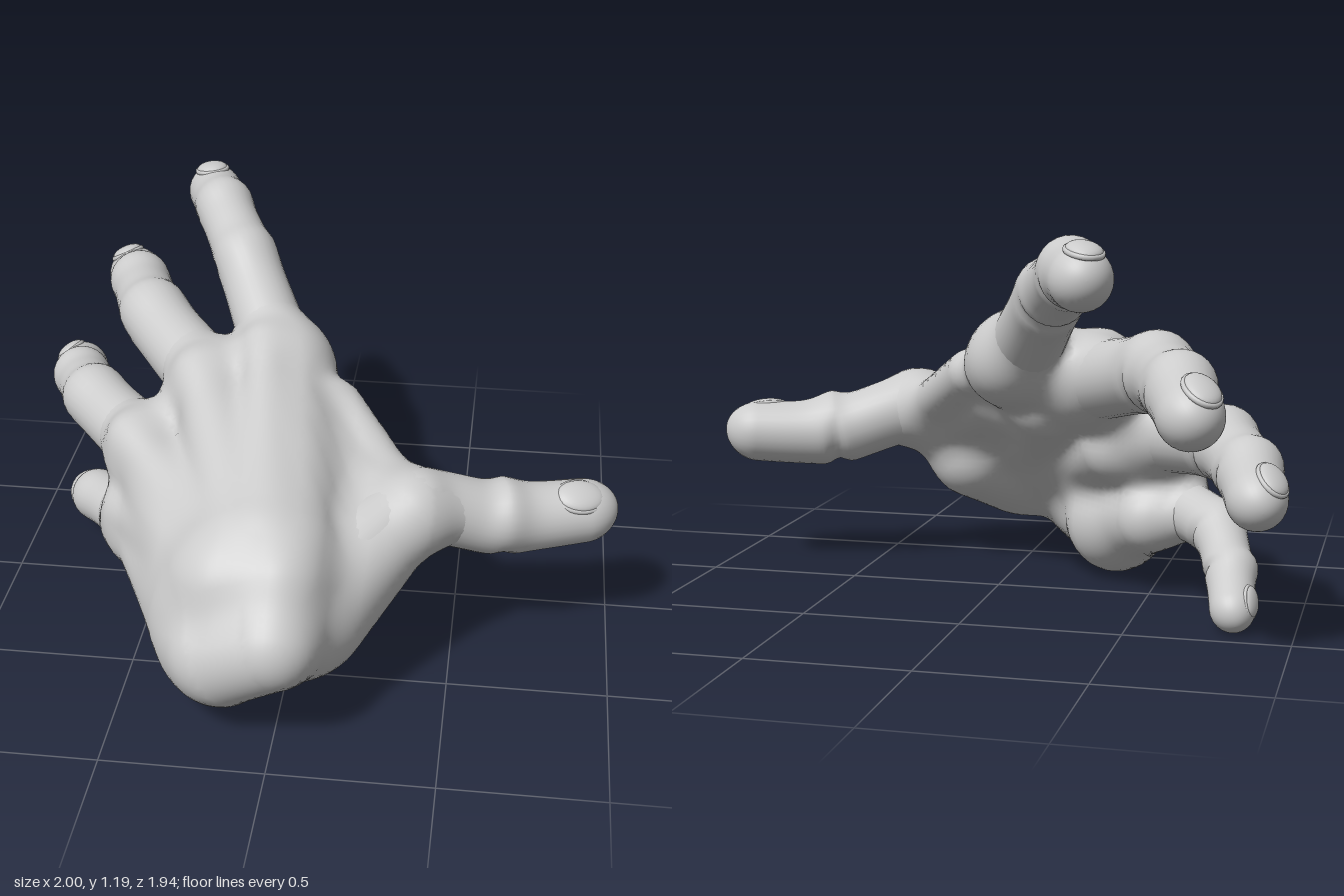
import * as THREE from 'three';

const V = (a) => new THREE.Vector3(...a);
const skin = new THREE.MeshStandardMaterial({ color: 0xcccccc, side: THREE.DoubleSide });

// Each finger: knuckle, two joints and the end, the radius at each, and the way its nail faces
const FINGERS = [
  { name: 'indexFinger', pts: [[-0.1, 0.79, -0.12], [-0.27, 1.01, -0.45], [-0.375, 1.09, -0.67], [-0.47, 1.09, -0.92]], r: [0.13, 0.109, 0.102, 0.098], up: [-0.1, 1, 0] },
  { name: 'middleFinger', pts: [[-0.31, 0.71, -0.06], [-0.585, 0.785, -0.43], [-0.69, 0.775, -0.7], [-0.78, 0.71, -0.97]], r: [0.138, 0.12, 0.108, 0.102], up: [-0.35, 0.95, 0] },
  { name: 'ringFinger', pts: [[-0.51, 0.53, 0.06], [-0.76, 0.55, -0.24], [-0.86, 0.51, -0.46], [-0.93, 0.44, -0.72]], r: [0.13, 0.113, 0.102, 0.094], up: [-0.55, 0.8, 0] },
  { name: 'littleFinger', pts: [[-0.53, 0.3, 0.14], [-0.73, 0.25, -0.09], [-0.79, 0.16, -0.25], [-0.83, 0.04, -0.45]], r: [0.112, 0.09, 0.08, 0.073], up: [-0.9, 0.4, 0] },
  { name: 'thumb', pts: [[0.14, 0.44, 0.55], [0.38, 0.54, 0.33], [0.64, 0.47, 0.23], [1.0, 0.47, 0.12]], r: [0.15, 0.125, 0.122, 0.106], up: [0, 0.85, 0.45] },
];

// Muscles and bones under the skin of the palm: start, end, start radius, end radius
function palmBones() {
  const bones = [
    [[-0.16, 0.27, 0.755], [0.0, 0.35, 0.82], 0.175, 0.145],   // wrist
    [[-0.14, 0.46, 0.67], [0.0, 0.48, 0.7], 0.17, 0.155],
    [[0.0, 0.53, 0.57], [-0.08, 0.77, -0.12], 0.165, 0.13],    // palm bones
    [[-0.1, 0.52, 0.57], [-0.31, 0.71, -0.06], 0.17, 0.135],
    [[-0.2, 0.41, 0.6], [-0.51, 0.53, 0.06], 0.17, 0.13],
    [[-0.25, 0.29, 0.6], [-0.53, 0.3, 0.14], 0.17, 0.115],
    [[-0.19, 0.195, 0.64], [-0.35, 0.18, 0.24], 0.175, 0.145], // heel of the palm
    [[-0.35, 0.19, 0.24], [-0.49, 0.25, 0.04], 0.145, 0.115],
    [[-0.08, 0.33, 0.55], [-0.38, 0.48, 0.04], 0.15, 0.12],    // hollow of the palm
    [[-0.02, 0.4, 0.5], [-0.15, 0.62, 0.0], 0.15, 0.12],
    [[0.02, 0.32, 0.66], [0.35, 0.52, 0.36], 0.18, 0.125],     // thumb muscle
    [[0.08, 0.29, 0.6], [0.19, 0.37, 0.41], 0.165, 0.155],
    [[0.38, 0.54, 0.33], [0.51, 0.507, 0.278], 0.122, 0.098],
    [[0.33, 0.545, 0.26], [0.1, 0.71, 0.0], 0.07, 0.075],      // web of the thumb
    [[0.27, 0.5, 0.35], [0.03, 0.62, 0.13], 0.1, 0.11],
    [[0.15, 0.45, 0.45], [0.0, 0.57, 0.28], 0.13, 0.13],
    [[-0.04, 0.75, -0.13], [-0.06, 0.77, -0.17], 0.1, 0.1],    // side of the index knuckle
  ];
  const dorsal = V([-0.055, 0.085, 0.05]);
  FINGERS.slice(0, 4).forEach(({ pts, r }, i) => {
    bones.push([pts[0], V(pts[0]).lerp(V(pts[1]), 0.5).toArray(), r[0], (r[0] + r[1]) * 0.42]);
    // skin between neighbouring knuckles
    if (i < 3) bones.push([pts[0], FINGERS[i + 1].pts[0], 0.09, 0.09]);
    // tendon on the back of the hand
    bones.push([[-0.04 - i * 0.06, 0.62 - i * 0.05, 0.62], V(pts[0]).add(dorsal).toArray(), 0.03, 0.045]);
  });
  return bones.map(([a, b, ra, rb]) => {
    const d = [b[0] - a[0], b[1] - a[1], b[2] - a[2]];
    return { a, d, ra, rb, l2: d[0] ** 2 + d[1] ** 2 + d[2] ** 2 };
  });
}

// Distance to all bones, melted together
function makeField(bones, k = 0.08) {
  return (x, y, z) => {
    let f = 10;
    for (const { a, d, ra, rb, l2 } of bones) {
      const px = x - a[0], py = y - a[1], pz = z - a[2];
      const h = Math.min(1, Math.max(0, (px * d[0] + py * d[1] + pz * d[2]) / l2));
      const g = Math.hypot(px - h * d[0], py - h * d[1], pz - h * d[2]) - ra - (rb - ra) * h;
      const m = Math.max(k - Math.abs(f - g), 0) / k;
      f = Math.min(f, g) - m * m * k * 0.25;
    }
    return f;
  };
}

// Smooth skin over a field: one vertex per crossed cell, one quad per crossed edge
function skinGeometry(field, lo, hi, cell) {
  const n = lo.map((v, i) => Math.ceil((hi[i] - v) / cell) + 1);
  const step = [1, n[0], n[0] * n[1]];
  const val = new Float32Array(n[0] * n[1] * n[2]);
  const vert = new Int32Array(val.length).fill(-1);
  const pos = [], nor = [], idx = [];
  const each = (from, to, fn) => {
    for (let z = from; z < n[2] - to; z++)
      for (let y = from; y < n[1] - to; y++)
        for (let x = from; x < n[0] - to; x++) fn([x, y, z], x + y * step[1] + z * step[2]);
  };
  each(0, 0, (c, i) => { val[i] = field(...c.map((v, a) => lo[a] + v * cell)); });
  each(0, 1, (c, i) => {
    const sum = [0, 0, 0];
    let count = 0;
    for (let a = 0; a < 3; a++) {
      const b = (a + 1) % 3, e = (a + 2) % 3;
      for (let q = 0; q < 4; q++) {
        const ob = q & 1, oe = q >> 1;
        const j = i + ob * step[b] + oe * step[e];
        const f0 = val[j], f1 = val[j + step[a]];
        if ((f0 < 0) === (f1 < 0)) continue;
        sum[a] += f0 / (f0 - f1); sum[b] += ob; sum[e] += oe;
        count++;
      }
    }
    if (!count) return;
    const p = c.map((v, a) => lo[a] + (v + sum[a] / count) * cell);
    const h = 0.006;
    const g = V([0, 1, 2].map((a) => {
      const u = [...p], w = [...p];
      u[a] += h; w[a] -= h;
      return field(...u) - field(...w);
    })).normalize();
    vert[i] = pos.length / 3;
    pos.push(...p);
    nor.push(g.x, g.y, g.z);
  });
  each(1, 1, (c, i) => {
    for (let a = 0; a < 3; a++) {
      const inside = val[i] < 0;
      if (inside === (val[i + step[a]] < 0)) continue;
      const sb = step[(a + 1) % 3], sc = step[(a + 2) % 3];
      const q = [i, i - sb, i - sb - sc, i - sc].map((j) => vert[j]);
      if (!inside) q.reverse();
      idx.push(q[0], q[1], q[2], q[0], q[2], q[3]);
    }
  });
  const geo = new THREE.BufferGeometry();
  geo.setAttribute('position', new THREE.Float32BufferAttribute(pos, 3));
  geo.setAttribute('normal', new THREE.Float32BufferAttribute(nor, 3));
  return geo.setIndex(idx);
}

// Finger swept along its joints, with knuckle bulges, soft pads and creases below
function fingerGeometry({ r, up }, curve, rings = 80, sides = 28) {
  const pos = [], idx = [], end = curve.getPoint(1), cap = r[3] * 1.05;
  for (let i = 0; i <= rings; i++) {
    const t = Math.sin((i / rings) * Math.PI / 2);
    const p = curve.getPoint(t), tan = curve.getTangent(t);
    const side = tan.clone().cross(V(up)).normalize(), top = side.clone().cross(tan);
    const s = Math.min(t * 3, 2.9999), k = Math.floor(s);
    let rad = THREE.MathUtils.lerp(r[k], r[k + 1], s - k);
    const d = p.distanceTo(end);
    if (t > 0.7 && d < cap) rad *= Math.sqrt(Math.max(0, 1 - (1 - d / cap) ** 2));
    const joint = Math.min(Math.abs(t * 3 - 1), Math.abs(t * 3 - 2));
    const bulge = Math.exp(-((joint / 0.2) ** 2)), crease = Math.exp(-((joint / 0.07) ** 2));
    for (let j = 0; j < sides; j++) {
      const a = (j / sides) * Math.PI * 2, c = Math.cos(a);
      const under = Math.max(0, -c), over = Math.max(0, c);
      const m = rad * (0.92 + 0.1 * bulge * (0.5 + over) - 0.18 * crease * under - 0.06 * over * (1 - bulge) + 0.07 * under);
      pos.push(...p.clone().addScaledVector(top, c * m).addScaledVector(side, Math.sin(a) * m).toArray());
      if (i === rings) continue;
      const u = i * sides + j, v = i * sides + ((j + 1) % sides);
      idx.push(u, v, u + sides, v, v + sides, u + sides);
    }
  }
  const geo = new THREE.BufferGeometry();
  geo.setAttribute('position', new THREE.Float32BufferAttribute(pos, 3));
  geo.setIndex(idx).computeVertexNormals();
  return geo;
}

// Nail plate with a thin fold of skin around it
function makeNail({ r, up }, curve) {
  const nail = new THREE.Group(), R = r[3], t = 0.885;
  const tan = curve.getTangent(t), side = tan.clone().cross(V(up)).normalize();
  const top = side.clone().cross(tan);
  const plate = new THREE.Mesh(new THREE.SphereGeometry(1, 24, 16), skin);
  plate.scale.set(R * 0.54, R * 0.24, R * 0.74);
  plate.name = 'nailPlate';
  const fold = new THREE.Mesh(new THREE.TorusGeometry(1, 0.12, 8, 32).rotateX(Math.PI / 2), skin);
  fold.scale.set(R * 0.54, R * 0.7, R * 0.72);
  fold.position.y = -R * 0.04;
  fold.name = 'nailFold';
  nail.add(plate, fold);
  nail.quaternion.setFromRotationMatrix(new THREE.Matrix4().makeBasis(side.clone().negate(), top, tan));
  nail.rotateX(0.14);
  nail.position.copy(curve.getPoint(t)).addScaledVector(top, R * 0.76);
  nail.name = 'nail';
  return nail;
}

export function createModel() {
  const hand = new THREE.Group();
  hand.name = 'hand';
  const palm = new THREE.Mesh(skinGeometry(makeField(palmBones()), [-0.9, -0.06, -0.5], [0.7, 1.15, 1.06], 0.022), skin);
  palm.name = 'palm';
  hand.add(palm);
  for (const f of FINGERS) {
    const curve = new THREE.CatmullRomCurve3(f.pts.map(V));
    const finger = new THREE.Group();
    finger.name = f.name;
    const flesh = new THREE.Mesh(fingerGeometry(f, curve), skin);
    flesh.name = f.name + 'Flesh';
    finger.add(flesh, makeNail(f, curve));
    hand.add(finger);
  }
  return hand;
}
